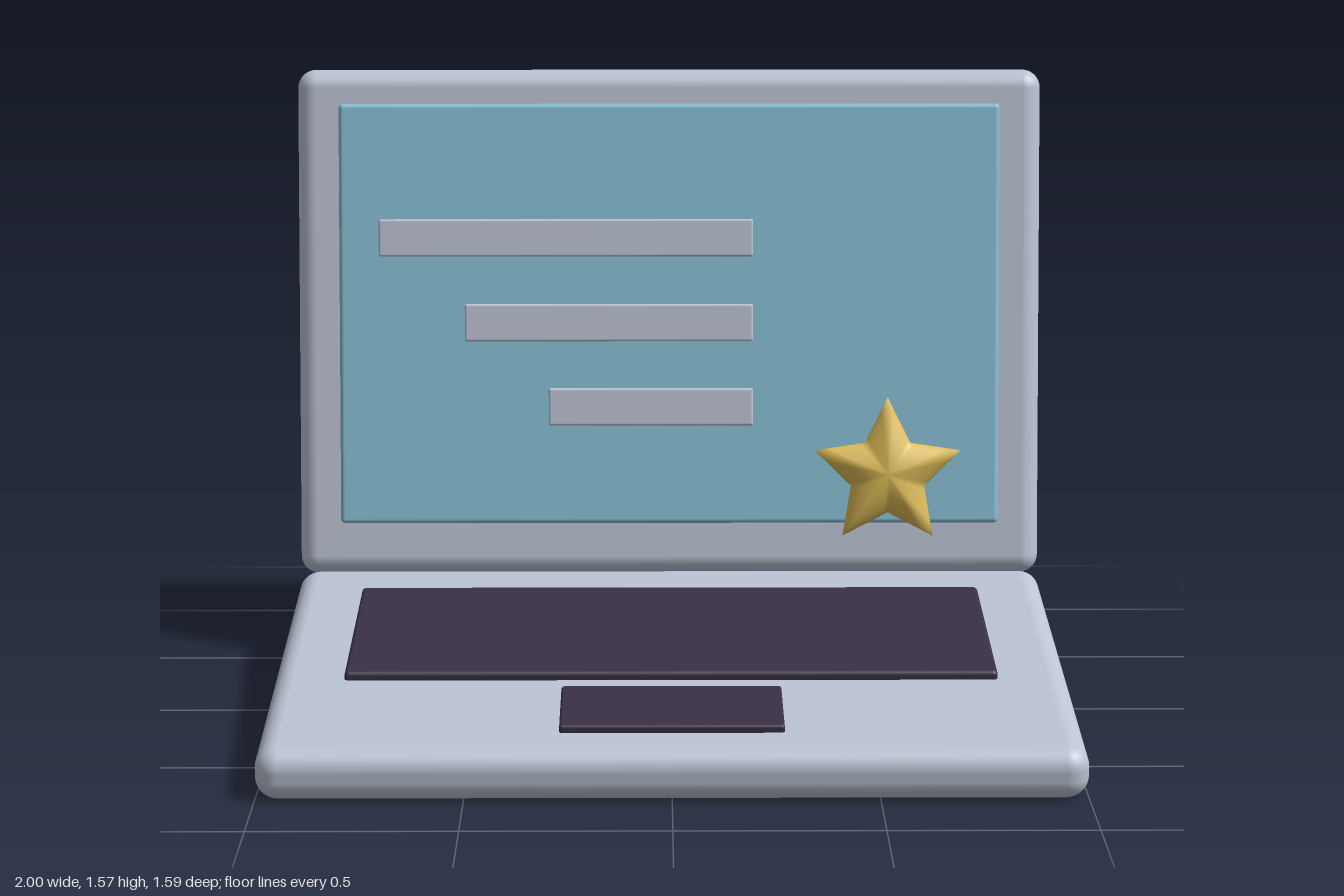
import * as THREE from 'three';
import { mergeVertices } from 'three/addons/utils/BufferGeometryUtils.js';
import { RoundedBoxGeometry } from 'three/addons/geometries/RoundedBoxGeometry.js';

function makeMaterial(name, color) {
  const material = new THREE.MeshStandardMaterial({ color });
  material.name = name;
  return material;
}

function roundedBox(name, size, radius, material, position = [0, 0, 0], segments = 5) {
  const mesh = new THREE.Mesh(new RoundedBoxGeometry(...size, segments, radius), material);
  mesh.name = name;
  mesh.position.set(...position);
  return mesh;
}

// Puffy five-pointed star: a sphere whose outline is pulled into star arms
function starGeometry(outer, inner, depth) {
  let geometry = new THREE.SphereGeometry(1, 60, 24).rotateX(Math.PI / 2);
  const step = Math.PI / 5;
  const p = geometry.attributes.position;
  for (let i = 0; i < p.count; i++) {
    const x = p.getX(i), y = p.getY(i), z = p.getZ(i);
    const s = Math.hypot(x, y);
    const fromTip = Math.atan2(y, x) - Math.PI / 2;
    const turn = fromTip - Math.round(fromTip / (2 * step)) * 2 * step;
    const t = Math.abs(turn);
    const reach = outer * inner * Math.sin(step) / (outer * Math.sin(t) + inner * Math.sin(step - t));
    p.setXYZ(i, x * reach, y * reach, depth * Math.sign(z) * Math.pow(Math.abs(z), 1.4) * (1 - 0.1 * s));
  }
  geometry.deleteAttribute('uv');
  geometry.deleteAttribute('normal');
  geometry = mergeVertices(geometry, 1e-5);
  geometry.computeVertexNormals();
  return geometry;
}

export function createModel() {
  const casing = makeMaterial('silver casing', 0xbcc4d4);
  const glass = makeMaterial('screen blue', 0x88bfd6);
  const dark = makeMaterial('dark keys', 0x3a3047);
  const gold = makeMaterial('gold', 0xdfbd58);

  const model = new THREE.Group();
  model.name = 'laptop';

  // Base, raised slightly at the back
  const base = new THREE.Group();
  base.name = 'base';
  base.position.set(0, 0.119, 0.116);
  base.rotation.x = 0.085;
  base.add(
    roundedBox('baseBody', [2, 0.132, 1.362], 0.055, casing),
    roundedBox('keyboard', [1.635, 0.036, 0.642], 0.012, dark, [0, 0.07, -0.13], 3),
    roundedBox('trackpad', [0.545, 0.03, 0.272], 0.008, dark, [0, 0.07, 0.412], 3)
  );
  model.add(base);

  // Lid, leaning back
  const lid = new THREE.Group();
  lid.name = 'lid';
  lid.position.set(0, 0.898, -0.657);
  lid.rotation.x = -0.139;
  lid.add(
    roundedBox('lidBody', [2, 1.362, 0.099], 0.049, casing),
    roundedBox('screen', [1.775, 1.13, 0.035], 0.012, glass, [0, 0.024, 0.052], 3)
  );

  // Raised text bars, aligned at their right ends
  [[1.005, 0.23], [0.775, 0.002], [0.55, -0.225]].forEach(([width, y], i) => {
    lid.add(roundedBox(`screenBar${i + 1}`, [width, 0.1, 0.022], 0.006, casing, [0.225 - width / 2, y, 0.076], 3));
  });

  // Star in the lower corner of the screen
  const star = new THREE.Mesh(starGeometry(0.207, 0.104, 0.042), gold);
  star.name = 'star';
  star.position.set(0.588, -0.407, 0.079);
  lid.add(star);
  model.add(lid);

  return model;
}
